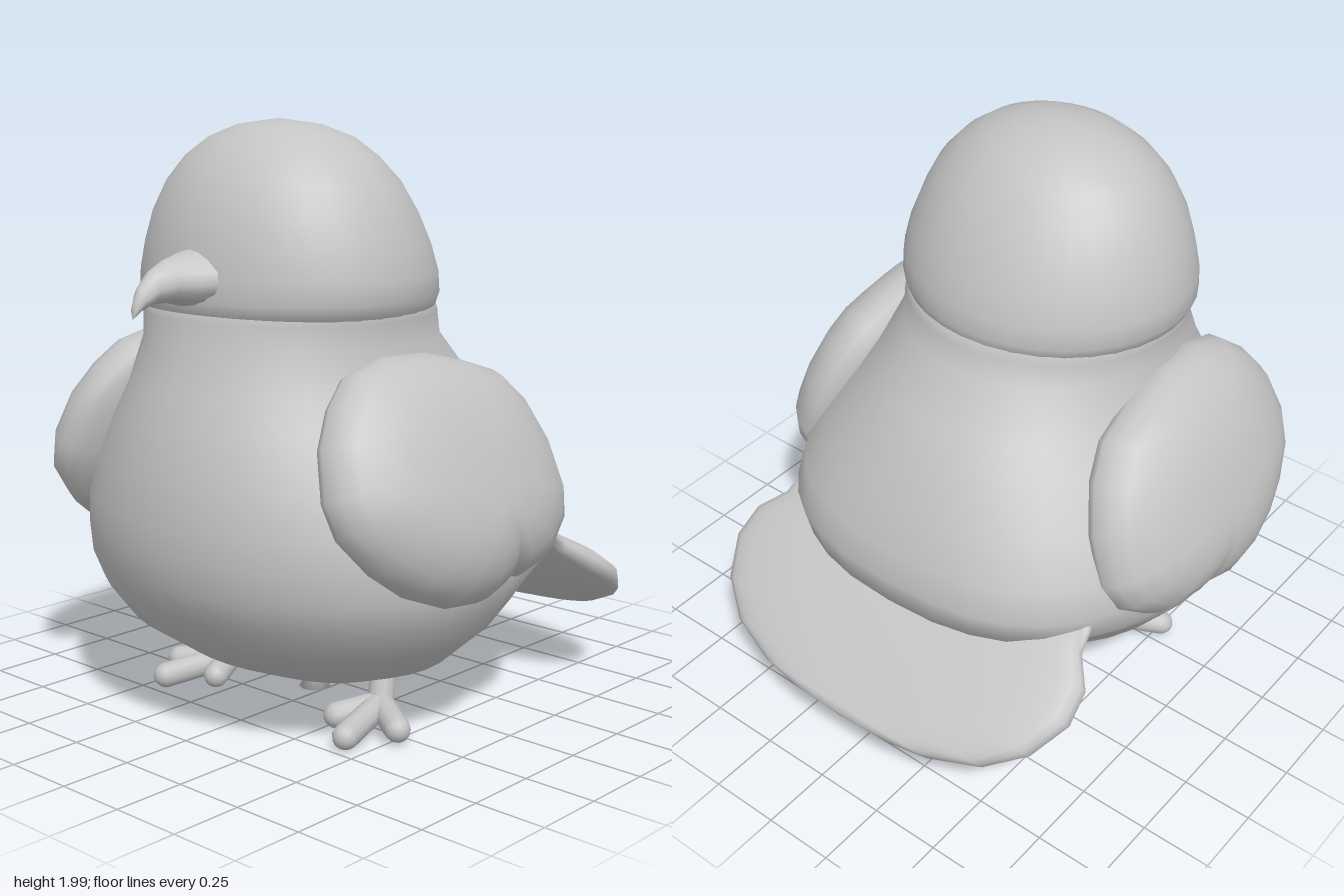
import * as THREE from 'three';
import { mergeVertices } from 'three/addons/utils/BufferGeometryUtils.js';

const plain = new THREE.MeshStandardMaterial({ color: 0xc4c4c4 });
plain.name = 'plainGrey';

// Smooth skin over a list of closed rings of Vector3 (equal counts), always facing outwards
function skin(name, rings) {
  const n = rings[0].length, pos = [], idx = [];
  rings.forEach(r => r.forEach(p => pos.push(p.x, p.y, p.z)));
  let volume = 0;
  const at = i => new THREE.Vector3().fromArray(pos, i * 3);
  const tri = (a, b, c) => {
    idx.push(a, b, c);
    volume += at(a).dot(at(b).cross(at(c)));
  };
  for (let i = 0; i < rings.length - 1; i++) {
    for (let j = 0; j < n; j++) {
      const k = (j + 1) % n;
      const a = i * n + j, b = i * n + k, c = a + n, d = b + n;
      tri(a, b, d);
      tri(a, d, c);
    }
  }
  if (volume < 0) idx.reverse();
  let geo = new THREE.BufferGeometry();
  geo.setAttribute('position', new THREE.Float32BufferAttribute(pos, 3));
  geo.setIndex(idx);
  geo = mergeVertices(geo, 1e-5);
  geo.computeVertexNormals();
  const mesh = new THREE.Mesh(geo, plain);
  mesh.name = name;
  return mesh;
}

const loop = (n, f) => Array.from({ length: n }, (_, i) => f(i / n * Math.PI * 2));
const pow = (v, p) => Math.sign(v) * Math.abs(v) ** p;

// Horizontal egg-shaped ring: height, half width, front z, back z, widest z, squareness of the back
function eggRing([y, hw, zf, zb, zc, p = 1]) {
  return loop(36, a => {
    const c = Math.cos(a), s = Math.sin(a);
    return s >= 0
      ? new THREE.Vector3(hw * c, y, zc + (zf - zc) * s)
      : new THREE.Vector3(hw * pow(c, p), y, zc + (zc - zb) * pow(s, p));
  });
}

function wing(side) {
  // Outline as [z, y]
  const outline = [[0.74, 0.9], [0.7, 1.05], [0.62, 1.16], [0.52, 1.24], [0.38, 1.275], [0.2, 1.27],
    [0.03, 1.23], [-0.12, 1.18], [-0.22, 1.08], [-0.29, 0.93], [-0.31, 0.76], [-0.27, 0.66], [-0.15, 0.57],
    [0, 0.54], [0.07, 0.56], [0.1, 0.53], [0.2, 0.505], [0.35, 0.52], [0.5, 0.58], [0.62, 0.67], [0.72, 0.79]];
  const rings = [];
  for (let k = 0; k <= 14; k++) {
    const phi = k / 14 * Math.PI, r = Math.sin(phi);
    const bulge = Math.cos(phi) * (k < 7 ? 0.24 : 0.14);
    rings.push(outline.map(([oz, oy]) => {
      const z = 0.21 + (oz - 0.21) * r, y = 0.89 + (oy - 0.89) * r;
      const x = 0.48 + (1.27 - y) * 0.36 + bulge * 0.94;
      return new THREE.Vector3(side * x, y + bulge * 0.34 * r, z);
    }));
  }
  return skin(side > 0 ? 'leftWing' : 'rightWing', rings);
}

// Rounded limb between two points
function limb(name, a, b, r) {
  const dir = b.clone().sub(a), len = dir.length();
  const mesh = new THREE.Mesh(new THREE.CapsuleGeometry(r, len, 5, 12), plain);
  mesh.position.copy(a).add(b).multiplyScalar(0.5);
  mesh.quaternion.setFromUnitVectors(new THREE.Vector3(0, 1, 0), dir.normalize());
  mesh.name = name;
  return mesh;
}

function foot(side) {
  const g = new THREE.Group();
  g.name = side > 0 ? 'leftFoot' : 'rightFoot';
  const v = (x, y, z) => new THREE.Vector3(side * x, y, z);
  const ankle = v(0.36, 0.075, 0.2);
  g.add(limb('leg', v(0.34, 0.2, 0.16), ankle, 0.045));
  [v(0.29, 0.055, 0.34), v(0.43, 0.05, 0.45), v(0.52, 0.055, 0.3)]
    .forEach(tip => g.add(limb('toe', ankle, tip, 0.044)));
  return g;
}

export function createModel() {
  const model = new THREE.Group();
  model.name = 'bird';

  // Plump body, squarer at the back where it meets the tail
  model.add(skin('body', [
    [0.1, 0, 0.16, 0.16, 0.16], [0.115, 0.17, 0.26, 0.02, 0.16], [0.145, 0.32, 0.38, -0.14, 0.16],
    [0.22, 0.52, 0.56, -0.31, 0.16], [0.34, 0.66, 0.74, -0.44, 0.18], [0.45, 0.745, 0.82, -0.52, 0.19],
    [0.55, 0.77, 0.865, -0.62, 0.2, 0.82], [0.65, 0.77, 0.88, -0.63, 0.2, 0.76],
    [0.76, 0.755, 0.885, -0.595, 0.2, 0.78], [0.9, 0.69, 0.865, -0.535, 0.2, 0.84],
    [1.05, 0.6, 0.83, -0.45, 0.22, 0.9], [1.15, 0.54, 0.79, -0.38, 0.23, 0.94],
    [1.3, 0.49, 0.735, -0.25, 0.25], [1.38, 0.5, 0.72, -0.22, 0.26],
    [1.44, 0.495, 0.7, -0.2, 0.27], [1.5, 0, 0.27, 0.27, 0.27],
  ].map(eggRing)));

  // Domed head
  model.add(skin('head', [
    [1.34, 0, 0.27, 0.27, 0.27], [1.38, 0.49, 0.71, -0.205, 0.27], [1.44, 0.52, 0.717, -0.212, 0.27],
    [1.51, 0.518, 0.715, -0.205, 0.27], [1.6, 0.5, 0.7, -0.17, 0.27], [1.7, 0.465, 0.675, -0.125, 0.28],
    [1.8, 0.415, 0.63, -0.06, 0.28], [1.88, 0.345, 0.57, 0.01, 0.29], [1.94, 0.26, 0.5, 0.08, 0.29],
    [1.98, 0.15, 0.42, 0.17, 0.3], [2, 0, 0.3, 0.3, 0.3],
  ].map(eggRing)));

  // Hooked beak: z, top, bottom, half width
  model.add(skin('beak', [
    [0.55, 1.52, 1.52, 0], [0.58, 1.63, 1.42, 0.19], [0.69, 1.605, 1.425, 0.14], [0.74, 1.595, 1.43, 0.1],
    [0.8, 1.58, 1.445, 0.065], [0.86, 1.55, 1.445, 0.045], [0.905, 1.505, 1.428, 0.028],
    [0.928, 1.455, 1.412, 0.014], [0.935, 1.405, 1.405, 0],
  ].map(([z, top, bottom, hw]) => loop(16, a => {
    const s = Math.sin(a), mid = bottom + (top - bottom) * 0.42;
    return new THREE.Vector3(hw * pow(Math.cos(a), 1.3), mid + s * (s > 0 ? top - mid : mid - bottom), z);
  }))));

  // Sloping fan tail: z, y, half width, half thickness
  model.add(skin('tail', [
    [-0.25, 0.66, 0, 0], [-0.27, 0.655, 0.62, 0.012], [-0.36, 0.6, 0.655, 0.04], [-0.42, 0.55, 0.665, 0.06],
    [-0.5, 0.49, 0.74, 0.075], [-0.6, 0.42, 0.75, 0.08], [-0.72, 0.335, 0.68, 0.078],
    [-0.81, 0.27, 0.55, 0.07], [-0.87, 0.235, 0.36, 0.06], [-0.89, 0.222, 0.2, 0.055], [-0.895, 0.218, 0, 0],
  ].map(([z, y, hw, ht]) => loop(36, a => {
    const t = ht * pow(Math.sin(a), 0.65);
    return new THREE.Vector3(hw * pow(Math.cos(a), 0.8), y + t * 0.82, z - t * 0.57);
  }))));

  // Small flared stub under the belly
  const stub = new THREE.Mesh(new THREE.LatheGeometry(
    [[0, 0.025], [0.055, 0.035], [0.028, 0.08], [0.06, 0.125], [0, 0.14]]
      .map(p => new THREE.Vector2(...p)), 10), plain);
  stub.position.z = 0.14;
  stub.name = 'bellyStub';
  model.add(stub);

  for (const side of [1, -1]) model.add(wing(side), foot(side));
  return model;
}
